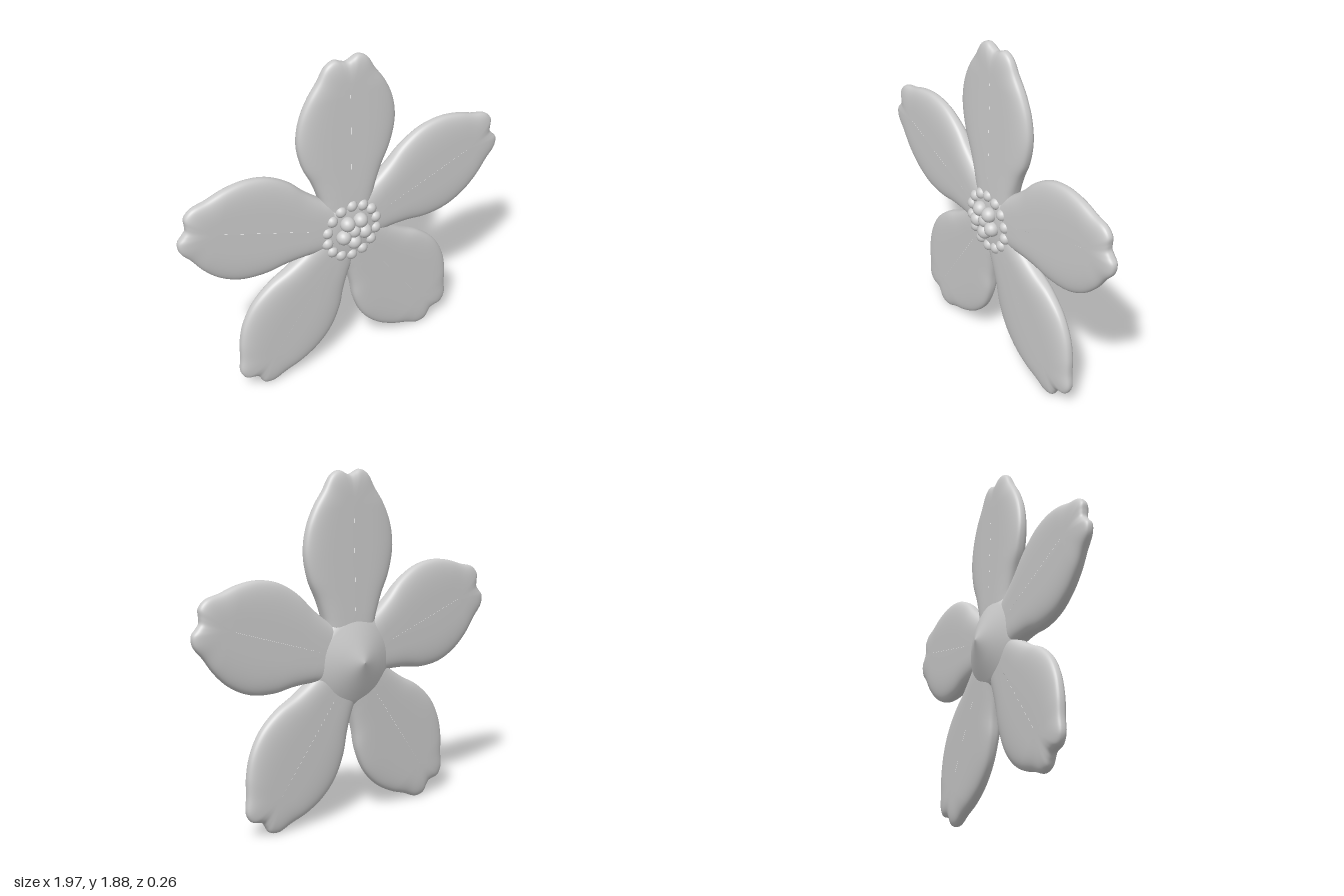
import * as THREE from 'three';

const CENTRE_Y = 0.87;
const MID_Z = 0.008;

// Right half of the petal outline: x across, y distance from the flower centre
const HALF = [
  [0.1, 0.03], [0.15, 0.15], [0.174, 0.24], [0.212, 0.34], [0.265, 0.45],
  [0.295, 0.59], [0.278, 0.72], [0.228, 0.83], [0.168, 0.915], [0.12, 0.99],
  [0.07, 1.013], [0.03, 0.998],
];

// Pillow-like petal: rings of the outline shrink towards a central spine
function petalGeometry() {
  const pts = [
    ...HALF.map(([x, y]) => new THREE.Vector3(x, y, 0)),
    new THREE.Vector3(0, 0.988, 0),
    ...HALF.slice().reverse().map(([x, y]) => new THREE.Vector3(-x, y, 0)),
  ];
  const n = 120, rings = 28;
  const outline = new THREE.CatmullRomCurve3(pts, true, 'centripetal').getPoints(n).slice(0, n);
  const pos = [], index = [];
  for (let i = 0; i <= rings; i++) {
    const a = (i / rings) * Math.PI;
    const k = Math.max(0.001, Math.pow(Math.abs(Math.sin(a)), 0.5));
    const c = Math.cos(a);
    const lift = Math.sign(c) * Math.pow(Math.abs(c), 0.75);
    for (const p of outline) {
      const spine = THREE.MathUtils.clamp(p.y, 0.25, 0.82);
      const y = spine + (p.y - spine) * k;
      pos.push(p.x * k, y, lift * (0.069 - 0.028 * y));
    }
  }
  for (let i = 0; i < rings; i++) {
    for (let j = 0; j < n; j++) {
      const j2 = (j + 1) % n;
      const a = i * n + j, b = i * n + j2, c = a + n, d = b + n;
      index.push(a, c, d, a, d, b);
    }
  }
  const g = new THREE.BufferGeometry();
  g.setAttribute('position', new THREE.Float32BufferAttribute(pos, 3));
  g.setIndex(index);
  g.computeVertexNormals();
  return g;
}

export function createModel() {
  const model = new THREE.Group();
  model.name = 'flower';
  const grey = new THREE.MeshStandardMaterial({ color: 0xcccccc });
  grey.name = 'light grey';

  const flower = new THREE.Group();
  flower.name = 'blossom';
  flower.position.set(0, CENTRE_Y, MID_Z);
  model.add(flower);

  const add = (name, geometry, x = 0, y = 0, z = 0) => {
    const m = new THREE.Mesh(geometry, grey);
    m.name = name;
    m.position.set(x, y, z);
    flower.add(m);
    return m;
  };

  // Five petals around the centre
  const petal = petalGeometry();
  for (let i = 0; i < 5; i++) {
    add('petal' + (i + 1), petal).rotation.z = (i * Math.PI * 2) / 5;
  }

  // Core joining the petals, with a shallow domed front
  const coreProfile = [[0, -0.05], [0.2, -0.05], [0.225, 0], [0.2, 0.052], [0.14, 0.066], [0.08, 0.072], [0, 0.074]]
    .map(([x, y]) => new THREE.Vector2(x, y));
  add('core', new THREE.LatheGeometry(coreProfile, 48)).rotation.x = Math.PI / 2;

  // Pointed cone on the back
  const coneProfile = [[0, -0.141], [0.03, -0.131], [0.12, -0.099], [0.21, -0.064], [0.245, -0.045], [0.25, -0.02]]
    .map(([x, y]) => new THREE.Vector2(x, y));
  add('backCone', new THREE.LatheGeometry(coneProfile, 48)).rotation.x = Math.PI / 2;

  // Outer ring of small beads
  const bead = new THREE.SphereGeometry(0.034, 20, 14);
  for (let i = 0; i < 14; i++) {
    const a = Math.PI / 2 + (i / 14) * Math.PI * 2;
    add('outerBead', bead, 0.155 * Math.cos(a), 0.155 * Math.sin(a), 0.052);
  }

  // Raised inner cluster, one bead pointing down
  const bud = new THREE.SphereGeometry(0.042, 24, 16);
  for (let i = 0; i < 5; i++) {
    const a = -Math.PI / 2 + (i / 5) * Math.PI * 2;
    add('innerBead', bud, 0.068 * Math.cos(a), 0.01 + 0.068 * Math.sin(a), 0.082);
  }
  add('middleBead', new THREE.SphereGeometry(0.04, 24, 16), 0, 0.01, 0.078);

  return model;
}
